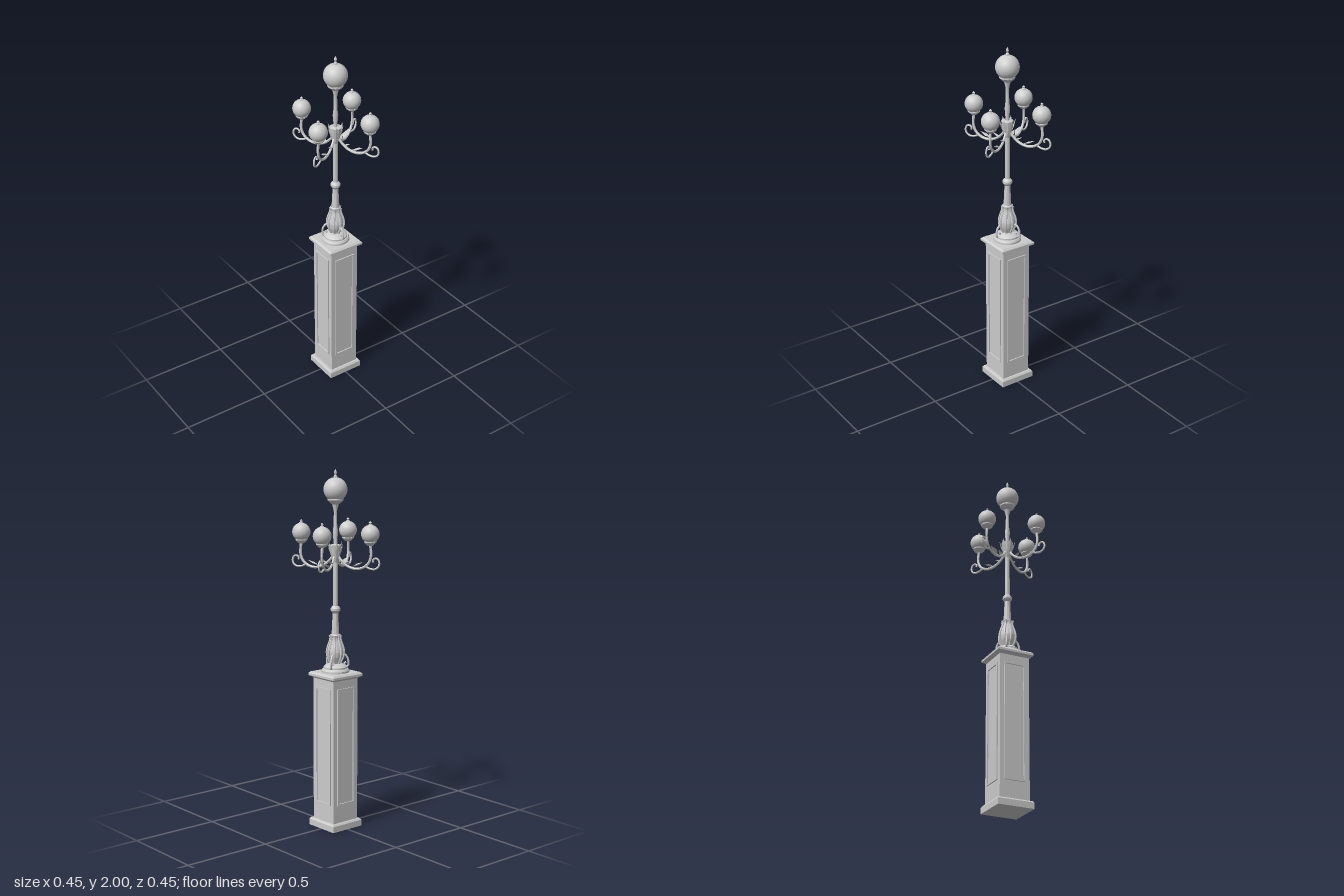
import * as THREE from 'three';
import { toCreasedNormals } from 'three/addons/utils/BufferGeometryUtils.js';

const stone = new THREE.MeshStandardMaterial({ color: 0xcccccc });
stone.name = 'light grey';

const CREASE = 0.45;

function add(parent, name, geometry, crease = CREASE) {
  const mesh = new THREE.Mesh(crease ? toCreasedNormals(geometry, crease) : geometry, stone);
  mesh.name = name;
  parent.add(mesh);
  return mesh;
}

const vectors = (points) => points.map(([r, y]) => new THREE.Vector2(r, y));
const lathe = (points, sides) => new THREE.LatheGeometry(vectors(points), sides);

// Square section: a four-sided lathe turned so its flats face the axes
function squareLathe(points) {
  const p = points.map(([w, y]) => [w * Math.SQRT2, y]);
  return new THREE.LatheGeometry(vectors(p), 4, Math.PI / 4);
}

// Tube through points in the x/y plane
function tube(points, radius, segments = 28) {
  const path = new THREE.CatmullRomCurve3(points.map(([x, y]) => new THREE.Vector3(x, y, 0)));
  return new THREE.TubeGeometry(path, segments, radius, 6);
}

// Folded leaf that runs along +x, with a raised middle
function leaf(length, width, thickness) {
  const g = new THREE.OctahedronGeometry(1);
  g.scale(length / 2, thickness / 2, width / 2);
  return g;
}

// Globe with its cup and pointed hexagonal finial, around its own centre
function lamp(radius, finialHeight) {
  const group = new THREE.Group();
  group.name = 'lamp';
  add(group, 'globe', new THREE.SphereGeometry(radius, 32, 20), 0);
  const k = radius;
  add(group, 'cup', lathe([
    [0, -1.25 * k], [0.28 * k, -1.25 * k], [0.5 * k, -1.08 * k], [0.6 * k, -0.98 * k],
    [0.67 * k, -0.9 * k], [0.67 * k, -0.78 * k], [0.55 * k, -0.76 * k]], 12));
  const f = finialHeight;
  add(group, 'finial', lathe([
    [0.012, -0.004], [0.011, 0.12 * f], [0.006, 0.25 * f], [0.006, 0.4 * f],
    [0.009, 0.55 * f], [0.006, 0.72 * f], [0, f]], 6).translate(0, k, 0));
  return group;
}

export function createModel() {
  const model = new THREE.Group();
  model.name = 'streetLamp';

  // Square pedestal with a plinth and moulded cap
  add(model, 'pedestal', squareLathe([
    [0, 0], [0.105, 0], [0.105, 0.034], [0.098, 0.043], [0.087, 0.043],
    [0.087, 0.852], [0.096, 0.86], [0.107, 0.865], [0.107, 0.877], [0.097, 0.887], [0, 0.887]]));

  // Raised frame on each side of the pedestal
  const frame = new THREE.Shape(vectors([[-0.062, 0.143], [0.062, 0.143], [0.062, 0.807], [-0.062, 0.807]]));
  frame.holes.push(new THREE.Path(vectors([[-0.052, 0.153], [-0.052, 0.797], [0.052, 0.797], [0.052, 0.153]])));
  const frameGeometry = new THREE.ExtrudeGeometry(frame, { depth: 0.007, bevelEnabled: false });
  frameGeometry.translate(0, 0, 0.0865);
  for (let i = 0; i < 4; i++) {
    add(model, 'panelFrame', frameGeometry).rotation.y = i * Math.PI / 2;
  }

  // Stepped round foot
  add(model, 'roundFoot', lathe([
    [0.078, 0.885], [0.078, 0.897], [0.072, 0.906], [0.066, 0.908], [0.066, 0.917],
    [0.055, 0.927], [0.035, 0.935], [0, 0.94]], 16));

  // Vase with leafy ribs
  const vase = [[0.026, 0.93], [0.03, 0.945], [0.042, 0.97], [0.046, 1.0], [0.04, 1.03],
    [0.029, 1.06], [0.026, 1.08], [0.03, 1.093], [0.024, 1.1]];
  add(model, 'vase', lathe(vase, 16));
  for (let i = 0; i < 8; i++) {
    const rib = add(model, 'vaseRib', tube(vase.slice(0, 8).map(([r, y]) => [r + 0.002, y]), 0.0065, 14));
    rib.rotation.y = (i * Math.PI) / 4;
  }

  // Three scrolled brackets around the vase
  for (let i = 0; i < 3; i++) {
    const scroll = add(model, 'footScroll', tube([
      [0.042, 0.985], [0.054, 0.982], [0.067, 0.965], [0.073, 0.942], [0.071, 0.92],
      [0.06, 0.912], [0.051, 0.922], [0.053, 0.937], [0.06, 0.938]], 0.006));
    scroll.rotation.y = -Math.PI / 2 + (i * Math.PI * 2) / 3;
  }

  // Post with its collar and upper swelling
  add(model, 'post', lathe([
    [0.022, 1.09], [0.021, 1.11], [0.016, 1.215], [0.02, 1.22], [0.027, 1.23], [0.027, 1.242],
    [0.02, 1.252], [0.014, 1.256], [0.013, 1.5], [0.011, 1.61], [0.013, 1.64], [0.015, 1.66],
    [0.01, 1.7], [0.009, 1.77], [0.013, 1.79], [0.02, 1.815]], 12));

  // Leafy cup where the arms meet
  add(model, 'armCup', lathe([
    [0.013, 1.495], [0.02, 1.515], [0.029, 1.545], [0.031, 1.575], [0.034, 1.59], [0.012, 1.595]], 12));
  for (let i = 0; i < 6; i++) {
    const petal = add(model, 'cupPetal', leaf(0.085, 0.026, 0.008)
      .rotateZ(1.3).translate(0.034, 1.565, 0));
    petal.rotation.y = (i * Math.PI) / 3;
  }

  // Four curved arms, each with a scroll, a leaf and a lamp
  for (let i = 0; i < 4; i++) {
    const arm = new THREE.Group();
    arm.name = 'lampArm';
    arm.rotation.y = 0.505 + (i * Math.PI) / 2;
    add(arm, 'armTube', tube([
      [0.012, 1.535], [0.035, 1.505], [0.07, 1.477], [0.115, 1.464], [0.16, 1.473],
      [0.192, 1.5], [0.205, 1.54], [0.203, 1.575], [0.2, 1.6]], 0.0075));
    add(arm, 'armScroll', tube([
      [0.172, 1.48], [0.195, 1.469], [0.225, 1.466], [0.246, 1.479], [0.252, 1.502],
      [0.242, 1.522], [0.225, 1.524], [0.215, 1.512], [0.218, 1.503]], 0.0055));
    add(arm, 'armLeaf', leaf(0.075, 0.034, 0.012).rotateZ(0.4).translate(0.128, 1.488, 0));
    add(arm, 'innerLeaf', leaf(0.055, 0.022, 0.01).rotateZ(0.5).translate(0.065, 1.497, 0));
    const armLamp = lamp(0.05, 0.02);
    armLamp.position.set(0.2, 1.655, 0);
    arm.add(armLamp);
    model.add(arm);
  }

  // Large top lamp
  const topLamp = lamp(0.065, 0.045);
  topLamp.name = 'topLamp';
  topLamp.position.y = 1.89;
  model.add(topLamp);

  return model;
}
